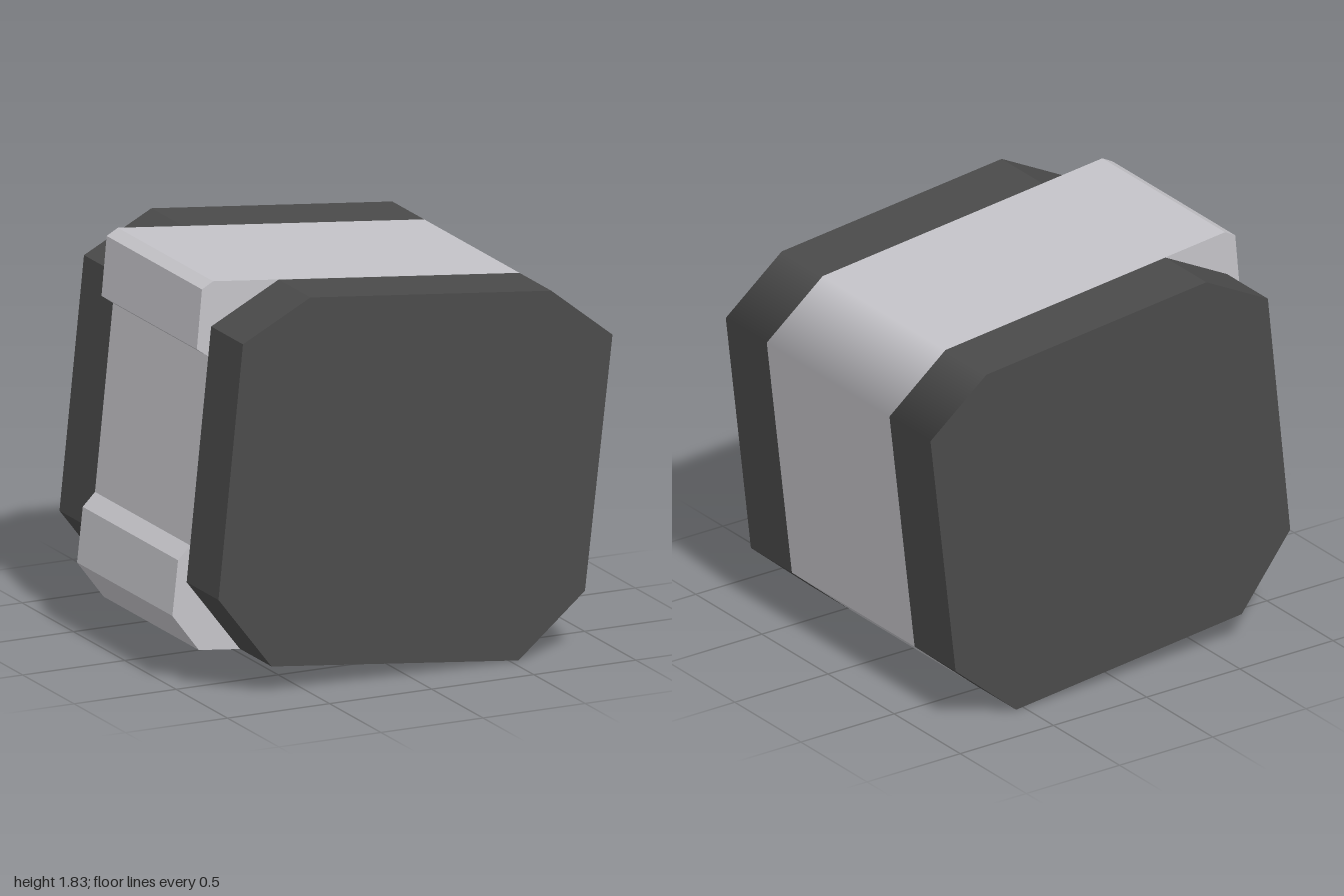
import * as THREE from 'three';

// Tilted eight-sided outline; corners listed counter-clockwise seen from the front
const upperRight = [1.0, 1.43], upperTop = [0.7, 1.67];
const base = [[0.54, 0.005], [0.865, 0.28], upperRight, upperTop];
const capOutline = [...base, [-0.48, 1.795], [-0.81, 1.625], [-0.93, 0.475], [-0.67, 0.137]];
// The middle band follows the same outline, but has two ridges on the right side
const bandOutline = [
  ...base,
  [-0.8, 1.83], [-0.855, 1.8], [-0.88, 1.53], [-0.824, 1.49],
  [-0.912, 0.64], [-0.972, 0.58], [-1.0, 0.33], [-0.87, 0.157],
];

function slab(name, outline, z0, z1, material) {
  const shape = new THREE.Shape(outline.map(([x, y]) => new THREE.Vector2(x, y)));
  const geometry = new THREE.ExtrudeGeometry(shape, { depth: z1 - z0, bevelEnabled: false });
  geometry.translate(0, 0, z0);
  softenCorner(geometry);
  const mesh = new THREE.Mesh(geometry, material);
  mesh.name = name;
  return mesh;
}

// Blend the shading across the upper left bevel, from the top face to the side face
function softenCorner(geometry) {
  const p = geometry.attributes.position, n = geometry.attributes.normal;
  const bevel = new THREE.Vector2(0.24, 0.3).normalize();
  const top = new THREE.Vector2(0.105, 1).normalize();
  const side = new THREE.Vector2(1, -0.117).normalize();
  for (let i = 0; i < p.count; i++) {
    if (n.getX(i) * bevel.x + n.getY(i) * bevel.y < 0.99) continue;
    const target = p.getX(i) > 0.85 ? side : top;
    n.setXYZ(i, target.x, target.y, 0);
  }
}

export function createModel() {
  const dark = new THREE.MeshStandardMaterial({ color: 0x4a4a4a });
  dark.name = 'dark grey';
  const light = new THREE.MeshStandardMaterial({ color: 0xc4c3c8 });
  light.name = 'light grey';

  const group = new THREE.Group();
  group.name = 'bandedBlock';
  group.add(
    slab('frontCap', capOutline, 0.463, 0.773, dark),
    slab('middleBand', bandOutline, -0.465, 0.463, light),
    slab('backCap', capOutline, -0.775, -0.465, dark),
  );
  return group;
}
